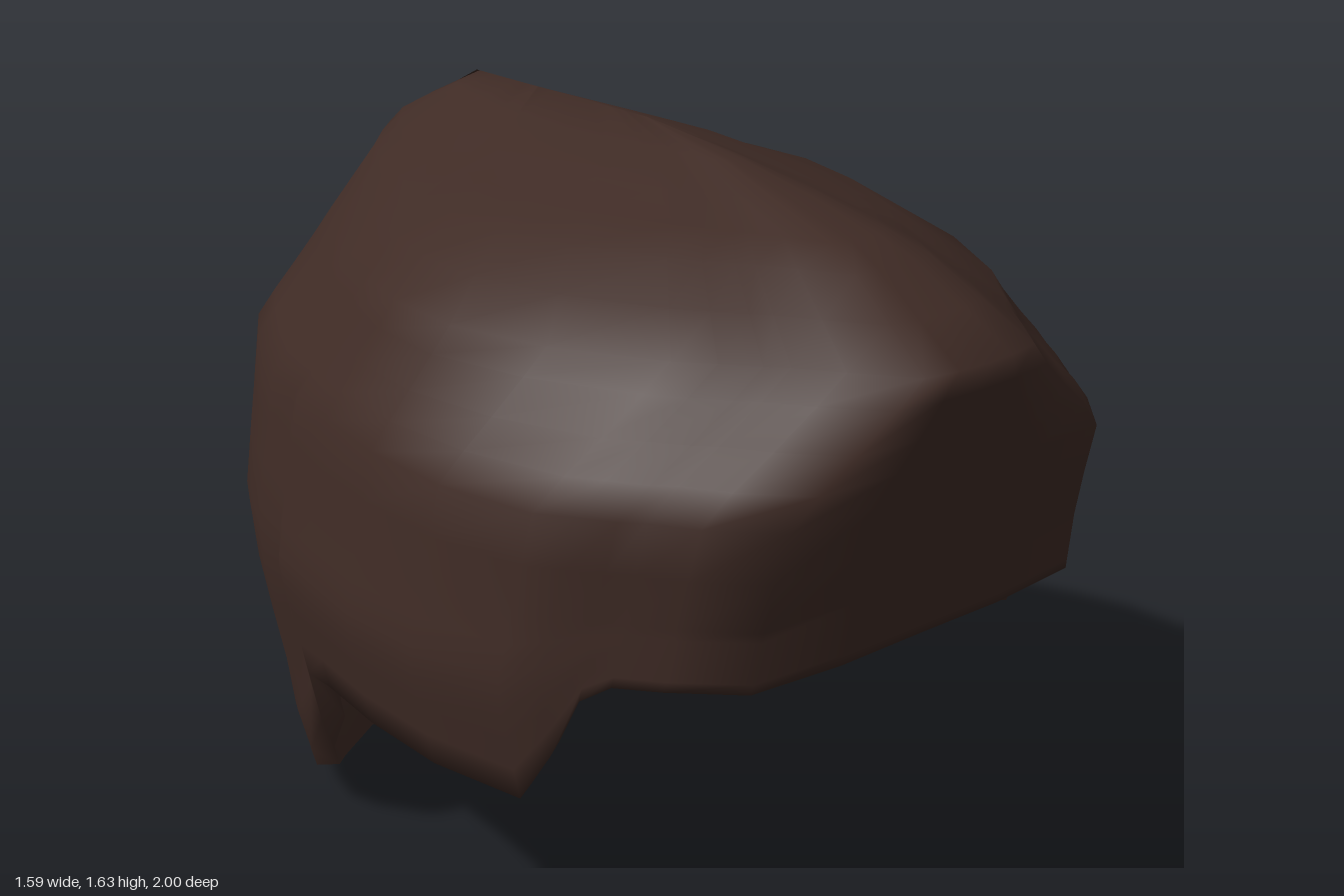
import * as THREE from 'three';
import { mergeVertices } from 'three/addons/utils/BufferGeometryUtils.js';

// Horizontal sections: [height, width factor, back z, front z]
const LEVELS = [
  [0, 0.85, -0.83, 0.87], [0.1, 0.85, -0.9, 0.87], [0.2, 0.88, -0.945, 0.87],
  [0.33, 0.89, -0.97, 0.87], [0.5, 0.935, -0.99, 0.87], [0.735, 1, -1, 0.87],
  [0.93, 0.967, -0.99, 0.9], [1.11, 0.945, -0.97, 0.945], [1.355, 0.795, -0.86, 1],
  [1.485, 0.54, -0.8, 0.77], [1.52, 0.4, -0.77, 0.68], [1.56, 0.29, -0.69, 0.51],
  [1.6, 0.14, -0.6, 0.32], [1.635, 0, -0.53, 0.05],
];

// Half outline from forehead to nape: [x, z, height of the hem]
const OUTLINE = [
  [0, 1, 0.77], [0.22, 0.995, 0.765], [0.445, 0.98, 0.77], [0.56, 0.86, 0.77],
  [0.615, 0.77, 0.765], [0.655, 0.73, 0.735], [0.7, 0.66, 0.6], [0.75, 0.59, 0.49],
  [0.8, 0.36, 0.495], [0.8, 0.13, 0.5], [0.77, -0.08, 0.495], [0.735, -0.235, 0.46],
  [0.725, -0.26, 0.33], [0.69, -0.4, 0.2], [0.645, -0.51, 0.11], [0.575, -0.64, 0.06],
  [0.49, -0.77, 0.02], [0.31, -0.89, 0.015], [0.17, -0.965, 0.01], [0, -1, 0],
];

const UPPER_ROWS = [1, 1.11, 1.17, 1.23, 1.3, 1.355, 1.42, 1.485, 1.52, 1.56, 1.6, 1.635];
const LOWER_ROWS = 6;
const SPLIT = 0.9;

function sectionAt(y) {
  let i = 0;
  while (i < LEVELS.length - 2 && y > LEVELS[i + 1][0]) i++;
  const a = LEVELS[i], b = LEVELS[i + 1];
  const t = (y - a[0]) / (b[0] - a[0]);
  return a.map((v, k) => v + (b[k] - v) * t);
}

// Whole outline: one half and its mirror image
const COLUMNS = [
  ...OUTLINE,
  ...OUTLINE.slice(1, -1).reverse().map(([x, z, hem]) => [-x, z, hem]),
];

function pointAt([x, z, hem], row, inner) {
  const y = row <= LOWER_ROWS
    ? hem + (SPLIT - hem) * row / LOWER_ROWS
    : UPPER_ROWS[row - LOWER_ROWS - 1];
  const [, width, back, front] = sectionAt(y);
  // Sections narrow towards both ends above the brow, so its corners slope down
  const rise = THREE.MathUtils.clamp((y - 1.13) / 0.22, 0, 1);
  const taper = 1 - rise * (z > 0 ? 0.6 : 0.25) * Math.abs(z) ** 1.5;
  const p = new THREE.Vector3(x * width * taper, y, (back + front) / 2 + z * (front - back) / 2);
  if (inner) {
    p.x *= 0.925;
    p.z *= 0.935;
    if (y > SPLIT) p.y = SPLIT + (y - SPLIT) * 0.88;
  }
  return p;
}

// Skin a stack of closed loops into one smooth surface
function skin(loops) {
  const n = COLUMNS.length, index = [];
  for (let r = 0; r < loops.length - 1; r++) {
    for (let i = 0; i < n; i++) {
      const j = (i + 1) % n;
      const a = r * n + i, b = r * n + j, c = b + n, d = a + n;
      index.push(a, b, c, a, c, d);
    }
  }
  let geometry = new THREE.BufferGeometry().setFromPoints(loops.flat());
  geometry.setIndex(index);
  geometry = mergeVertices(geometry, 1e-4);
  geometry.computeVertexNormals();
  return geometry;
}

export function createModel() {
  const group = new THREE.Group();
  group.name = 'hair';

  // One shell: down the lining, round the hem, up the outside to the crown ridge
  const rows = Array.from({ length: LOWER_ROWS + 1 + UPPER_ROWS.length }, (_, r) => r);
  const outer = rows.map(r => COLUMNS.map(c => pointAt(c, r, false)));
  const inner = rows.map(r => COLUMNS.map(c => pointAt(c, r, true)));
  const shell = new THREE.Mesh(
    skin([...inner.reverse(), ...outer]),
    new THREE.MeshStandardMaterial({ color: 0x3f2b25 }),
  );
  shell.name = 'hairShell';
  group.add(shell);
  return group;
}
